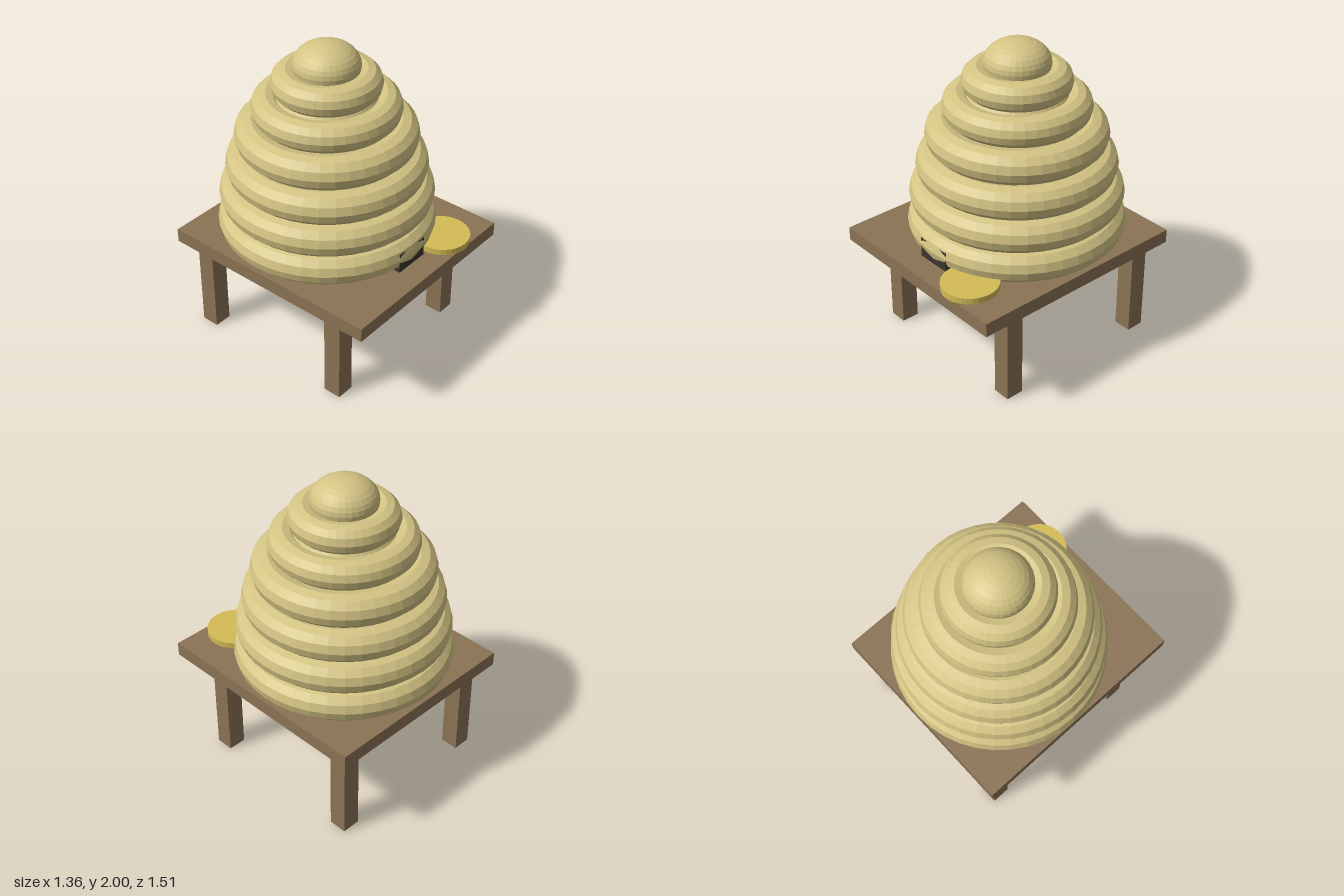
import * as THREE from 'three';

const mat = (color) => new THREE.MeshStandardMaterial({ color, flatShading: true });

export function createModel() {
  const model = new THREE.Group();
  const straw = mat(0xd4c484), wood = mat(0x8b7355), dark = mat(0x3a3430), gold = mat(0xd4bc56);

  const add = (name, geometry, material, x, y, z, parent = model) => {
    const mesh = new THREE.Mesh(geometry, material);
    mesh.name = name;
    mesh.position.set(x, y, z);
    parent.add(mesh);
    return mesh;
  };

  // Stand: a board on four square legs
  add('board', new THREE.BoxGeometry(1.33, 0.09, 1.48), wood, 0, 0.685, 0);
  const leg = new THREE.BoxGeometry(0.117, 0.64, 0.117);
  for (const x of [-0.52, 0.52])
    for (const z of [0.448, -0.595]) add('leg', leg, wood, x, 0.32, z);

  // Straw coils stacked into a dome: [outer radius, centre height, coil thickness]
  const hive = new THREE.Group();
  hive.name = 'hive';
  hive.position.z = -0.075;
  model.add(hive);
  const coils = [
    [0.68, 0.82, 0.105], [0.665, 1.015, 0.105], [0.62, 1.21, 0.105],
    [0.56, 1.41, 0.105], [0.455, 1.587, 0.093], [0.335, 1.748, 0.092],
  ];
  for (const [outer, y, tube] of coils) {
    const coil = new THREE.TorusGeometry(outer - tube, tube, 12, 40).rotateX(Math.PI / 2);
    add('coil', coil, straw, 0, y, 0, hive);
  }

  // Core that closes the gaps behind the coils
  const core = coils.map(([outer, y, tube]) => new THREE.Vector2(outer - tube, y));
  core.unshift(new THREE.Vector2(0.55, 0.72));
  core.push(new THREE.Vector2(0, 1.8));
  add('core', new THREE.LatheGeometry(core, 40), straw, 0, 0, 0, hive);

  // Flattened cap on top
  add('cap', new THREE.SphereGeometry(0.205, 32, 16), straw, 0, 1.858, 0, hive).scale.y = 0.142 / 0.205;

  // Entrance block, mostly sunk into the lowest coil
  add('entrance', new THREE.BoxGeometry(0.235, 0.13, 0.12), dark, 0, 0.795, 0.53);

  // Round dish beside the entrance, overhanging the board
  add('dish', new THREE.CylinderGeometry(0.177, 0.177, 0.043, 32), gold, 0.325, 0.748, 0.575);

  return model;
}
